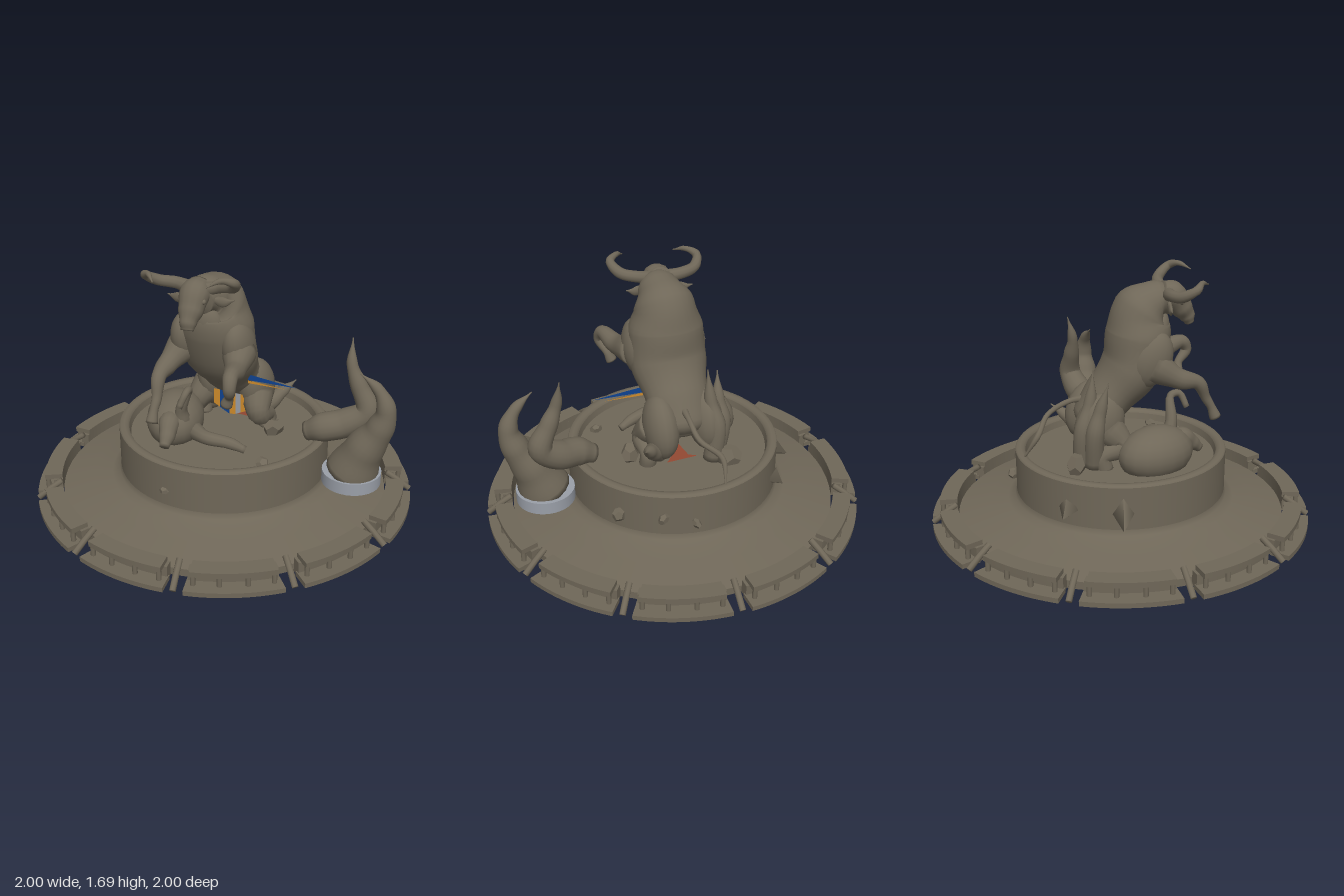
import * as THREE from 'three';

const V = (p) => new THREE.Vector3(...p);
const mat = (name, color, double) => {
  const m = new THREE.MeshStandardMaterial({ color });
  m.name = name;
  if (double) m.side = THREE.DoubleSide;
  return m;
};

// Closed organic form: elliptical rings swept along a smooth path.
// radii are numbers or [width along ref, depth across it]
function limb(points, radii, ref = [1, 0, 0], steps = 6, sides = 14) {
  const curve = new THREE.CatmullRomCurve3(points.map(V));
  const n = (points.length - 1) * steps, pos = [], idx = [];
  const r = radii.map((q) => (Array.isArray(q) ? q : [q, q]));
  for (let i = 0; i <= n; i++) {
    const t = i / n, k = Math.min(Math.floor(i / steps), points.length - 2), f = i / steps - k;
    const c = curve.getPoint(t), T = curve.getTangent(t);
    const U = V(ref).addScaledVector(T, -V(ref).dot(T)).normalize();
    const W = new THREE.Vector3().crossVectors(T, U);
    const s = f * f * (3 - 2 * f);
    const a = r[k][0] + (r[k + 1][0] - r[k][0]) * s, b = r[k][1] + (r[k + 1][1] - r[k][1]) * s;
    for (let j = 0; j < sides; j++) {
      const w = (j / sides) * Math.PI * 2;
      const p = c.clone().addScaledVector(U, a * Math.cos(w)).addScaledVector(W, b * Math.sin(w));
      pos.push(p.x, p.y, p.z);
    }
  }
  const start = (n + 1) * sides, end = start + 1;
  pos.push(...points[0], ...points[points.length - 1]);
  for (let j = 0; j < sides; j++) {
    const j2 = (j + 1) % sides;
    for (let i = 0; i < n; i++) {
      const a = i * sides, b = a + sides;
      idx.push(a + j, a + j2, b + j2, a + j, b + j2, b + j);
    }
    idx.push(start, j2, j, end, n * sides + j, n * sides + j2);
  }
  const g = new THREE.BufferGeometry();
  g.setAttribute('position', new THREE.Float32BufferAttribute(pos, 3));
  g.setIndex(idx);
  g.computeVertexNormals();
  return g;
}

// Flat ring sector lying between heights y0 and y1
function sector(r0, r1, y0, y1, mid, half) {
  const s = new THREE.Shape();
  s.absarc(0, 0, r1, mid - half, mid + half, false);
  s.absarc(0, 0, r0, mid + half, mid - half, true);
  const g = new THREE.ExtrudeGeometry(s, { depth: y1 - y0, bevelEnabled: false, curveSegments: 10 });
  return g.rotateX(-Math.PI / 2).translate(0, y0, 0);
}

export function createModel() {
  const model = new THREE.Group();
  const stone = mat('stone', 0x6f6758), shell = mat('stoneShell', 0x6f6758, true);
  const silver = mat('silver', 0x9a9fa8, true);
  const blue = mat('blue', 0x0f4392, true), orange = mat('orange', 0xd08c2c, true);
  const red = mat('red', 0xa5523a, true);

  const add = (name, geo, material = stone, parent = model) => {
    const m = new THREE.Mesh(geo, material);
    m.name = name;
    parent.add(m);
    return m;
  };
  const ball = (name, p, s, rot = [0, 0, 0], parent = model) => {
    const m = add(name, new THREE.SphereGeometry(1, 18, 12), stone, parent);
    m.position.set(...p);
    m.scale.set(...s);
    m.rotation.set(...rot);
    return m;
  };
  const lathe = (name, pts) =>
    add(name, new THREE.LatheGeometry(pts.map((p) => new THREE.Vector2(...p)), 64), shell);

  // Hollow stepped pedestal
  lathe('drumFloor', [[0, 0.73], [0.5, 0.73]]);
  lathe('drumInnerWall', [[0.492, 0.73], [0.5, 0.765]]);
  lathe('drumRim', [[0.5, 0.765], [0.508, 0.778], [0.525, 0.782], [0.545, 0.78], [0.552, 0.77]]);
  lathe('drumWall', [[0.552, 0.77], [0.552, 0.55]]);
  lathe('baseDisc', [[0.552, 0.55], [0.56, 0.52], [0.6, 0.5], [0.7, 0.475], [0.862, 0.435]]);
  lathe('baseEdge', [[0.862, 0.435], [0.862, 0.395]]);

  // Segmented rim with slanted rods in the gaps
  const rim = new THREE.Group();
  rim.name = 'segmentedRim';
  model.add(rim);
  const step = (Math.PI * 2) / 11, first = THREE.MathUtils.degToRad(87);
  for (let i = 0; i < 11; i++) {
    const gap = first + i * step, mid = gap + step / 2;
    add('lowerRail', sector(0.9, 1.0, 0.395, 0.42, mid, 0.238), stone, rim);
    add('upperRail', sector(0.868, 0.96, 0.472, 0.5, mid, 0.215), stone, rim);
    add('innerWall', sector(0.868, 0.915, 0.4, 0.475, mid, 0.232), stone, rim);
    for (const o of [-0.2, -0.07, 0.07, 0.2]) {
      const post = add('railPost', new THREE.CylinderGeometry(0.013, 0.013, 0.056, 8), stone, rim);
      post.position.set(0.945 * Math.cos(mid + o), 0.446, -0.945 * Math.sin(mid + o));
    }
    const at = (r, y) => [r * Math.cos(gap), y, -r * Math.sin(gap)];
    add('gapRod', limb([at(0.87, 0.5), at(0.93, 0.46), at(0.995, 0.41)], [0.016, 0.016, 0.016], [0, 1, 0], 1, 8), stone, rim);
  }

  // Rearing bull
  const bull = new THREE.Group();
  bull.name = 'bull';
  model.add(bull);
  add('bullBody', limb(
    [[0, 0.88, -0.17], [0, 0.95, -0.15], [0, 1.06, -0.06], [0, 1.2, 0.05], [0, 1.36, 0.09], [0, 1.48, 0.11], [0, 1.535, 0.18], [0, 1.53, 0.25]],
    [[0.06, 0.04], [0.14, 0.1], [0.165, 0.125], [0.2, 0.15], [0.195, 0.165], [0.155, 0.15], [0.11, 0.1], [0.065, 0.07]],
    [1, 0, 0], 6, 24), stone, bull);
  ball('dewlap', [0, 1.36, 0.18], [0.1, 0.14, 0.07], [0.2, 0, 0], bull);

  const head = new THREE.Group();
  head.name = 'bullHead';
  head.position.set(-0.02, 1.55, 0.24);
  head.rotation.z = 0.07;
  bull.add(head);
  add('skull', limb([[0, 0.04, -0.04], [0, 0.015, 0.02], [0, -0.05, 0.07], [0, -0.1, 0.105], [0, -0.135, 0.12]],
    [[0.06, 0.05], [0.075, 0.07], [0.062, 0.058], [0.042, 0.042], [0.032, 0.025]]), stone, head);
  for (const s of [-1, 1]) {
    add('horn', limb([[s * 0.04, 0.03, -0.01], [s * 0.12, 0.045, -0.02], [s * 0.2, 0.06, 0.01], [s * 0.235, 0.1, 0.07], [s * 0.19, 0.12, 0.11], [s * 0.14, 0.1, 0.16]],
      [0.034, 0.03, 0.028, 0.022, 0.014, 0.003], [0, 1, 0], 5, 10), stone, head);
    add('ear', limb([[s * 0.06, -0.01, -0.01], [s * 0.12, -0.03, -0.02], [s * 0.18, -0.02, -0.03]],
      [[0.014, 0.012], [0.026, 0.012], [0.003, 0.003]], [0, 1, 0], 5, 8), stone, head);
    ball('eye', [s * 0.062, -0.01, 0.055], [0.012, 0.013, 0.013], [0, 0, 0], head);
    ball('shoulder', [s * 0.14, 1.27, 0.12], [0.08, 0.15, 0.11], [0.4, 0, 0], bull);
    ball('thigh', [s * 0.12, 0.94, -0.14], [0.09, 0.17, 0.125], [0.35, 0, 0], bull);
    add('hindLeg', limb([[s * 0.14, 0.92, -0.1], [s * 0.18, 0.84, -0.04], [s * 0.19, 0.79, -0.14], [s * 0.19, 0.72, -0.13]],
      [0.085, 0.06, 0.042, 0.045]), stone, bull);
  }
  add('leftForeleg', limb([[0.15, 1.25, 0.13], [0.2, 1.22, 0.28], [0.235, 1.24, 0.4], [0.245, 1.19, 0.43], [0.22, 1.13, 0.38], [0.2, 1.08, 0.37]],
    [0.085, 0.052, 0.036, 0.03, 0.022, 0.03]), stone, bull);
  add('rightForeleg', limb([[-0.15, 1.24, 0.13], [-0.18, 1.17, 0.26], [-0.175, 1.14, 0.36], [-0.16, 1.05, 0.41], [-0.16, 1.0, 0.44], [-0.16, 0.94, 0.465]],
    [0.085, 0.052, 0.036, 0.025, 0.022, 0.03]), stone, bull);
  add('tail', limb([[0.01, 1.04, -0.15], [0.02, 1.03, -0.26], [0.01, 0.97, -0.38], [-0.08, 0.89, -0.45], [-0.07, 0.78, -0.52]],
    [0.025, 0.015, 0.014, 0.016, 0.006], [1, 0, 0], 6, 8), stone, bull);

  // Fallen animal in front of the bull
  const fallen = new THREE.Group();
  fallen.name = 'fallenAnimal';
  model.add(fallen);
  ball('fallenBody', [-0.22, 0.8, 0.13], [0.15, 0.14, 0.21], [0, 0.35, 0], fallen);
  add('fallenHead', limb([[-0.2, 0.82, 0.2], [-0.17, 0.85, 0.28], [-0.15, 0.81, 0.34], [-0.14, 0.77, 0.39]], [0.07, 0.055, 0.042, 0.025]), stone, fallen);
  add('fallenForeleg', limb([[-0.13, 0.84, 0.22], [-0.12, 0.93, 0.24], [-0.07, 1.045, 0.25], [-0.06, 1.05, 0.3], [-0.08, 0.98, 0.335]],
    [0.045, 0.03, 0.02, 0.018, 0.016], [1, 0, 0], 5, 10), stone, fallen);
  add('fallenFoldedLeg', limb([[-0.12, 0.77, 0.15], [0.02, 0.79, 0.24], [0.14, 0.78, 0.22], [0.22, 0.75, 0.2]],
    [0.05, 0.035, 0.03, 0.02], [0, 1, 0], 5, 10), stone, fallen);

  // Rubble and pointed shards around the bull
  const spikes = [
    [[-0.13, 0.74, -0.23], [-0.15, 0.92, -0.23], [-0.13, 1.06, -0.19], [-0.12, 1.23, -0.17]],
    [[-0.17, 0.74, -0.18], [-0.2, 0.92, -0.18], [-0.19, 1.04, -0.15], [-0.2, 1.18, -0.11]],
    [[0.14, 0.8, -0.16], [0.18, 0.84, -0.2], [0.22, 0.88, -0.25], [0.27, 0.93, -0.32]],
  ];
  for (const p of spikes) add('rearSpike', limb(p, [0.05, 0.048, 0.033, 0.003], [1, 0, 0.3]));
  const rocks = [[-0.05, 0.63, 0.545, 0.028], [0.43, 0.63, -0.36, 0.04], [0.25, 0.65, -0.5, 0.035], [0.1, 0.62, -0.56, 0.03],
    [0.34, 0.74, 0.26, 0.035], [-0.2, 0.76, -0.28, 0.07], [0.26, 0.76, -0.06, 0.06]];
  rocks.forEach(([x, y, z, s], i) => {
    const rock = add('rock', new THREE.DodecahedronGeometry(s, 0));
    rock.position.set(x, y, z);
    rock.scale.y = 0.7;
    rock.rotation.set(i, i * 2, i * 0.7);
  });
  // Pointed fragments stuck into the drum wall: heading, height, radius, length
  for (const [angle, y, size, length] of [[0.22, 0.62, 0.075, 0.15], [0.72, 0.62, 0.06, 0.08]]) {
    const arm = new THREE.Group();
    arm.name = 'wallFragment';
    arm.rotation.y = -angle;
    model.add(arm);
    const wedge = add('wallWedge', new THREE.ConeGeometry(size, length, 4), stone, arm);
    wedge.position.set(-0.575, y, 0);
    wedge.rotation.z = 2.1;
  }

  // Great curved claws, one set in a silver collar
  add('collar', new THREE.CylinderGeometry(0.15, 0.15, 0.065, 32), silver).position.set(0.71, 0.62, -0.025);
  add('outerClaw', limb([[0.71, 0.64, -0.02], [0.77, 0.79, -0.02], [0.84, 0.92, -0.02], [0.865, 1.03, -0.015], [0.82, 1.13, -0.01], [0.73, 1.2, 0]],
    [0.135, [0.11, 0.1], [0.078, 0.07], [0.052, 0.048], [0.03, 0.028], 0.003], [0, 0, 1], 6, 18));
  add('innerClaw', limb([[0.45, 0.8, -0.04], [0.54, 0.84, -0.05], [0.64, 0.87, -0.09], [0.74, 0.95, -0.12], [0.69, 1.07, -0.12], [0.645, 1.18, -0.12], [0.63, 1.31, -0.15]],
    [0.05, 0.075, 0.075, 0.062, 0.045, 0.028, 0.003], [0, 0, 1], 6, 16));

  // Thin coloured shards under and around the bull
  const plate = (name, pts, z, material) =>
    add(name, new THREE.ShapeGeometry(new THREE.Shape(pts.map((p) => new THREE.Vector2(...p)))), material).position.z = z;
  plate('hangingBlade', [[-0.03, 0.17], [0.04, 0.17], [0.04, 0.7], [-0.03, 0.7]], 0.003, blue);
  plate('hangingBladeBack', [[-0.03, 0.17], [0.04, 0.17], [0.04, 0.7], [-0.03, 0.7]], -0.003, red);
  plate('bladeTipEdge', [[-0.035, 0.14], [-0.02, 0.12], [0.03, 0.12], [0.045, 0.14], [0.04, 0.22], [-0.03, 0.22]], -0.005, orange);
  plate('bladeTipCorners', [[-0.035, 0.14], [0.005, 0.1], [0.045, 0.14], [0.04, 0.22], [0.028, 0.16], [-0.018, 0.16], [-0.03, 0.22]], 0.005, orange);
  plate('bladeTip', [[-0.022, 0.19], [-0.022, 0.12], [0, 0.05], [0.012, 0.05], [0.032, 0.12], [0.032, 0.19]], 0.007, silver);
  plate('bladePoint', [[-0.012, 0.09], [0.005, 0.005], [0.022, 0.09]], 0, blue);
  const fanEdges = [-0.07, -0.035, 0.02, 0.055, 0.085, 0.155];
  [orange, blue, orange, silver, orange].forEach((m, i) => {
    const [a, b] = [fanEdges[i], fanEdges[i + 1]];
    const low = (x) => 0.8 + Math.abs(x - 0.03) * 0.5;
    plate('fanStrip', [[a, low(a)], [b, low(b)], [b, 0.935], [a, 0.935]], -0.02, m);
  });
  plate('sideShard', [[0.15, 1.085], [0.42, 1.065], [0.15, 1.052]], 0.03, blue);
  plate('sideShardEdge', [[0.15, 1.05], [0.36, 1.045], [0.15, 1.035]], 0.03, orange);
  plate('redSheet', [[0.47, 0.29], [0.3, 0.5], [0.09, 0.74], [0.035, 0.83], [-0.02, 0.75], [-0.1, 0.72], [-0.48, 0.55], [-0.1, 0.6], [0.2, 0.44]], -0.17, red);

  // Spiky burst where the hanging blade meets the hollow
  for (let i = 0; i < 10; i++) {
    const a = (i / 10) * Math.PI * 2, tip = 0.17;
    add('burstSpike', limb([[0, 0.53, 0], [tip * Math.cos(a), 0.53 + 0.06 * (i % 2), tip * Math.sin(a)]],
      [0.016, 0.003], [0, 1, 0], 1, 6), i % 5 === 2 ? blue : silver);
    add('burstBead', new THREE.OctahedronGeometry(0.016), i % 2 ? orange : red)
      .position.set(0.06 * Math.cos(a + 0.3), 0.51, 0.06 * Math.sin(a + 0.3));
  }
  return model;
}
